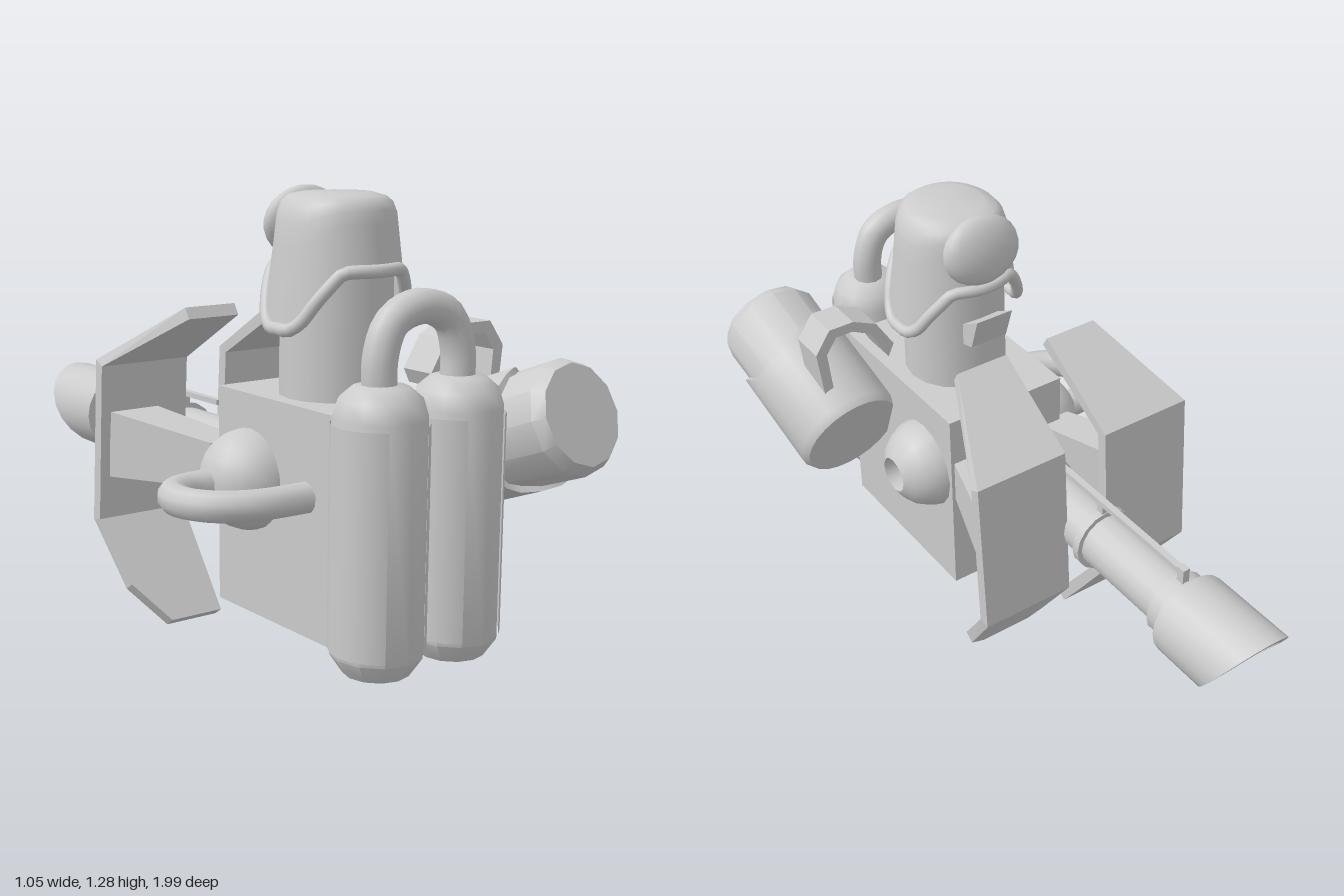
import * as THREE from 'three';
import { toCreasedNormals } from 'three/addons/utils/BufferGeometryUtils.js';
import { ConvexGeometry } from 'three/addons/geometries/ConvexGeometry.js';

const grey = new THREE.MeshStandardMaterial({ color: 0xcccccc });
const greyDouble = new THREE.MeshStandardMaterial({ color: 0xcccccc, side: THREE.DoubleSide });
const V = (x, y, z) => new THREE.Vector3(x, y, z);
const GUN_X = -0.03;

export function createModel() {
  const model = new THREE.Group();

  const add = (name, geo, x = 0, y = 0, z = 0, mat = grey) => {
    const mesh = new THREE.Mesh(geo, mat);
    mesh.name = name;
    mesh.position.set(x, y, z);
    model.add(mesh);
    return mesh;
  };
  const lathe = (pts, sides) =>
    new THREE.LatheGeometry(pts.map(([r, y]) => new THREE.Vector2(r, y)), sides);
  const crease = (geo) => toCreasedNormals(geo, 0.7);
  const hose = (pts, r, seg = 24, closed = false) =>
    new THREE.TubeGeometry(new THREE.CatmullRomCurve3(pts.map((p) => V(...p)), closed), seg, r, 10, closed);
  const hull = (pts) => new ConvexGeometry(pts.map((p) => V(...p)));

  // Body
  add('body', new THREE.BoxGeometry(0.395, 0.615, 0.58), 0, 0.4275, 0.41);

  // Twin tanks with raised side panels and a connecting hose
  for (const x of [-0.2, 0.05]) {
    add('tank', crease(lathe([[0, 0.12], [0.085, 0.12], [0.119, 0.17], [0.119, 0.765],
      [0.105, 0.81], [0.07, 0.84], [0, 0.845]], 12)), x, 0, 0.815);
    for (const side of [1, -1]) {
      const panel = new THREE.CylinderGeometry(0.123, 0.123, 0.57, 6, 1, true,
        side * Math.PI / 2 - 1.05, 2.1);
      add('tankPanel', panel, x, 0.465, 0.815, greyDouble);
    }
  }
  add('tankHose', hose([[-0.195, 0.8, 0.805], [-0.195, 0.91, 0.805], [-0.16, 0.99, 0.805],
    [-0.07, 1.022, 0.805], [0.02, 0.99, 0.805], [0.055, 0.91, 0.805], [0.055, 0.8, 0.805]], 0.045));

  // Side joints: a plain ball with a hose on one side, an open socket on the other
  add('ballJoint', new THREE.SphereGeometry(0.14, 16, 12), -0.2, 0.5, 0.27);
  const arc = [];
  for (let i = 0; i <= 10; i++) {
    const a = -Math.PI / 2 + i / 10 * (Math.PI - 0.4);
    arc.push([0.14 * Math.cos(a), 0.14 * Math.sin(a)]);
  }
  const socket = crease(lathe([...arc, [0.05, 0.06], [0, 0.06]], 16));
  socket.rotateZ(-Math.PI / 2);
  add('socketJoint', socket, 0.18, 0.5, 0.27);
  add('sideHose', hose([[-0.28, 0.5, 0.26], [-0.4, 0.5, 0.26], [-0.465, 0.5, 0.3], [-0.485, 0.5, 0.37],
    [-0.45, 0.5, 0.45], [-0.36, 0.5, 0.505], [-0.18, 0.5, 0.52]], 0.043));

  // Gun barrel, base and rings, each given as radius, back z, front z
  for (const [name, r, z0, z1] of [['barrel', 0.083, 0.14, -0.72], ['barrelBase', 0.097, 0.14, -0.04],
    ['barrelRing', 0.098, -0.305, -0.33], ['muzzleRing', 0.099, -0.64, -0.7]]) {
    const g = new THREE.CylinderGeometry(r, r, z0 - z1, 16);
    add(name, g.rotateX(-Math.PI / 2), GUN_X, 0.5, (z0 + z1) / 2);
  }
  add('sightRail', new THREE.BoxGeometry(0.02, 0.016, 0.55), GUN_X, 0.628, -0.4);
  add('railPost', new THREE.BoxGeometry(0.022, 0.06, 0.025), GUN_X, 0.612, -0.665);
  add('railPost', new THREE.BoxGeometry(0.022, 0.06, 0.025), GUN_X, 0.605, -0.315);

  // Hollow muzzle with a curved slanted mouth
  const muzzle = lathe([[0.07, 0], [0.126, 0], [0.126, 0.3], [0.1, 0.3], [0.1, 0.03], [0, 0.03]], 20);
  muzzle.rotateX(-Math.PI / 2);
  const mp = muzzle.attributes.position;
  for (let i = 0; i < mp.count; i++) {
    if (mp.getZ(i) > -0.29) continue;
    const u = Math.max(0, (mp.getY(i) + 0.126) / 0.252);
    mp.setZ(i, -0.1 - 0.2 * Math.pow(u, 0.7));
  }
  add('muzzle', crease(muzzle), GUN_X, 0.5, -0.7);

  // Folded shields beside the barrel: rows of y, z, outer half width
  const rows = [[0.935, 0.065, 0.235], [0.77, -0.21, 0.36], [0.3, -0.24, 0.36],
    [0.12, -0.11, 0.33], [0.015, -0.033, 0.24]];
  const section = rows.map(([y, z, w], i) => {
    const a = rows[Math.max(0, i - 1)], b = rows[Math.min(rows.length - 1, i + 1)];
    const n = new THREE.Vector2(-(b[1] - a[1]), b[0] - a[0]).normalize().multiplyScalar(0.018);
    return { w, front: [y + n.x, z + n.y], back: [y - n.x, z - n.y] };
  });
  for (const side of [1, -1]) {
    const sx = (d) => GUN_X + side * d;
    for (let i = 0; i < section.length - 1; i++) {
      const pts = [];
      for (const s of [section[i], section[i + 1]])
        for (const [y, z] of [s.front, s.back])
          pts.push([sx(0.07), y, z], [sx(s.w), y, z]);
      add('shieldPanel', hull(pts));
    }
    // Flared strut from the body to the shield
    const strut = [];
    for (const [z, x0, x1, y0, y1] of [[0.14, 0.1, 0.21, 0.45, 0.58], [-0.21, 0.17, 0.33, 0.43, 0.625]])
      for (const y of [y0, y1]) strut.push([sx(x0), y, z], [sx(x1), y, z]);
    add('shieldStrut', hull(strut));
  }

  // Canister with a wider, zigzag-edged sleeve at its back end
  const canister = new THREE.Group();
  canister.name = 'canister';
  const from = V(0.335, 0.54, 0.465), to = V(0.362, 0.725, 0.945);
  canister.position.copy(from).add(to).multiplyScalar(0.5);
  canister.quaternion.setFromUnitVectors(V(0, 1, 0), to.clone().sub(from).normalize());
  const core = add('canisterCore', crease(lathe([[0, -0.24], [0.15, -0.24], [0.157, 0.225],
    [0.137, 0.258], [0, 0.258]], 12)));
  const sleeveGeo = lathe([[0, -0.258], [0.155, -0.258], [0.168, -0.235], [0.168, 0.07], [0.15, 0.071]], 24);
  const sp = sleeveGeo.attributes.position;
  for (let i = 0; i < sp.count; i++) {
    if (sp.getY(i) < 0.05) continue;
    const a = Math.atan2(sp.getX(i), sp.getZ(i));
    sp.setY(i, sp.getY(i) + 0.04 * THREE.MathUtils.clamp(1.6 * Math.sin(2 * a), -1, 1));
  }
  canister.add(core, add('canisterSleeve', crease(sleeveGeo)));
  model.add(canister);

  // Angular strap over the canister
  const outer = [[0.16, 0.8], [0.215, 0.89], [0.29, 0.925], [0.37, 0.925], [0.42, 0.855], [0.4, 0.68]];
  const inner = [[0.37, 0.68], [0.385, 0.845], [0.35, 0.893], [0.295, 0.893], [0.235, 0.862], [0.18, 0.76]];
  const strap = new THREE.Shape([...outer, ...inner].map(([x, y]) => new THREE.Vector2(x, y)));
  add('strap', new THREE.ExtrudeGeometry(strap, { depth: 0.11, bevelEnabled: false }), 0, 0, 0.485);

  // Neck and pointed face guard
  add('neck', new THREE.CylinderGeometry(0.152, 0.155, 0.42, 16), 0, 0.93, 0.39);
  const guard = [];
  for (const x of [-0.06, 0.06])
    for (const [y, z] of [[0.885, 0.26], [0.9, 0.205], [1.0, 0.172], [0.95, 0.26]]) guard.push([x, y, z]);
  add('faceGuard', hull(guard));

  // Helmet: a dome whose lower edge drops into ear flaps at the sides
  const edgeY = (a) => 0.925 + 0.155 * THREE.MathUtils.clamp((Math.abs(Math.cos(a)) - 0.3) / 0.55, 0, 1);
  const radius = (y) => THREE.MathUtils.mapLinear(y, 0.92, 1.2, 0.192, 0.16);
  const dome = [[1, 0], [1, 0.2], [1, 0.4], [1, 0.6], [1, 0.78], [0.95, 0.9], [0.84, 0.965], [0.62, 1], [0, 1.01]];
  const helmet = lathe(dome, 32);
  const hp = helmet.attributes.position;
  for (let i = 0; i < hp.count; i++) {
    const a = Math.atan2(hp.getX(i), hp.getZ(i));
    const e = edgeY(a), y = e + hp.getY(i) * (1.275 - e), r = radius(y);
    hp.setXYZ(i, hp.getX(i) * r, y, hp.getZ(i) * r * 1.03);
  }
  helmet.computeVertexNormals();
  add('helmet', toCreasedNormals(helmet, 1), 0, 0, 0.388, greyDouble);
  const rim = [];
  for (let i = 0; i < 32; i++) {
    const a = i / 32 * Math.PI * 2, y = edgeY(a), r = radius(y);
    rim.push([Math.sin(a) * r, y, Math.cos(a) * r * 1.03]);
  }
  add('helmetRim', hose(rim, 0.018, 64, true), 0, 0, 0.388);
  const flap = add('browFlap', new THREE.SphereGeometry(1, 16, 12), 0, 1.19, 0.235);
  flap.scale.set(0.125, 0.1, 0.048);
  flap.rotation.x = 0.22;

  return model;
}
